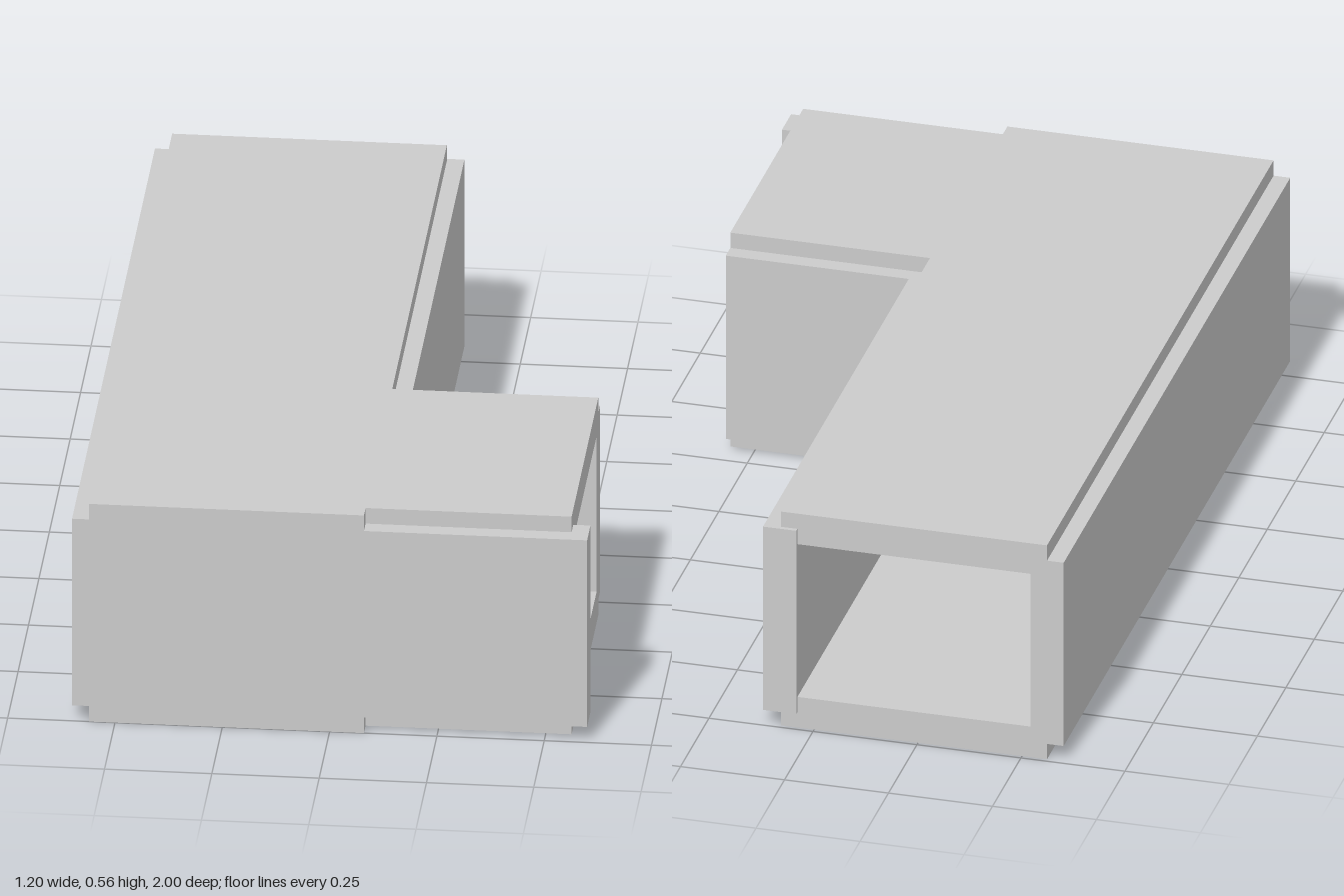
import * as THREE from 'three';

const material = new THREE.MeshStandardMaterial({ color: 0xcccccc });

// Upright prism from a floor outline of [x, z] corners, spanning y0 to y1
function prism(name, outline, y0, y1) {
  const shape = new THREE.Shape(outline.map(([x, z]) => new THREE.Vector2(x, -z)));
  const geometry = new THREE.ExtrudeGeometry(shape, { depth: y1 - y0, bevelEnabled: false });
  geometry.rotateX(-Math.PI / 2);
  geometry.translate(0, y0, 0);
  const mesh = new THREE.Mesh(geometry, material);
  mesh.name = name;
  return mesh;
}

export function createModel() {
  const model = new THREE.Group();
  model.name = 'cornerDuct';

  // L-shaped side walls
  model.add(prism('outerWall',
    [[-0.6, -0.99], [-0.52, -0.99], [-0.52, 0.92], [0.6, 0.92], [0.6, 1], [-0.6, 1]], 0.04, 0.52));
  model.add(prism('innerWall',
    [[0.04, -1], [0.12, -1], [0.12, 0.28], [0.56, 0.28], [0.56, 0.36], [0.04, 0.36]], 0.04, 0.52));

  // Rabbeted plates: a wide layer resting on the walls, a narrow one fitting between them
  const wide = [[-0.56, -0.99], [0.08, -0.99], [0.08, 0.32], [0.56, 0.32],
    [0.56, 0.96], [0.08, 0.96], [0.08, 1], [-0.56, 1]];
  const narrow = [[-0.52, -0.99], [0.04, -0.99], [0.04, 0.36], [0.56, 0.36],
    [0.56, 0.92], [-0.52, 0.92]];
  for (const [name, wideY, narrowY] of [['bottomPlate', 0, 0.04], ['topPlate', 0.52, 0.48]]) {
    const plate = new THREE.Group();
    plate.name = name;
    plate.add(prism(name + 'Panel', wide, wideY, wideY + 0.04));
    plate.add(prism(name + 'Tongue', narrow, narrowY, narrowY + 0.04));
    model.add(plate);
  }
  return model;
}
